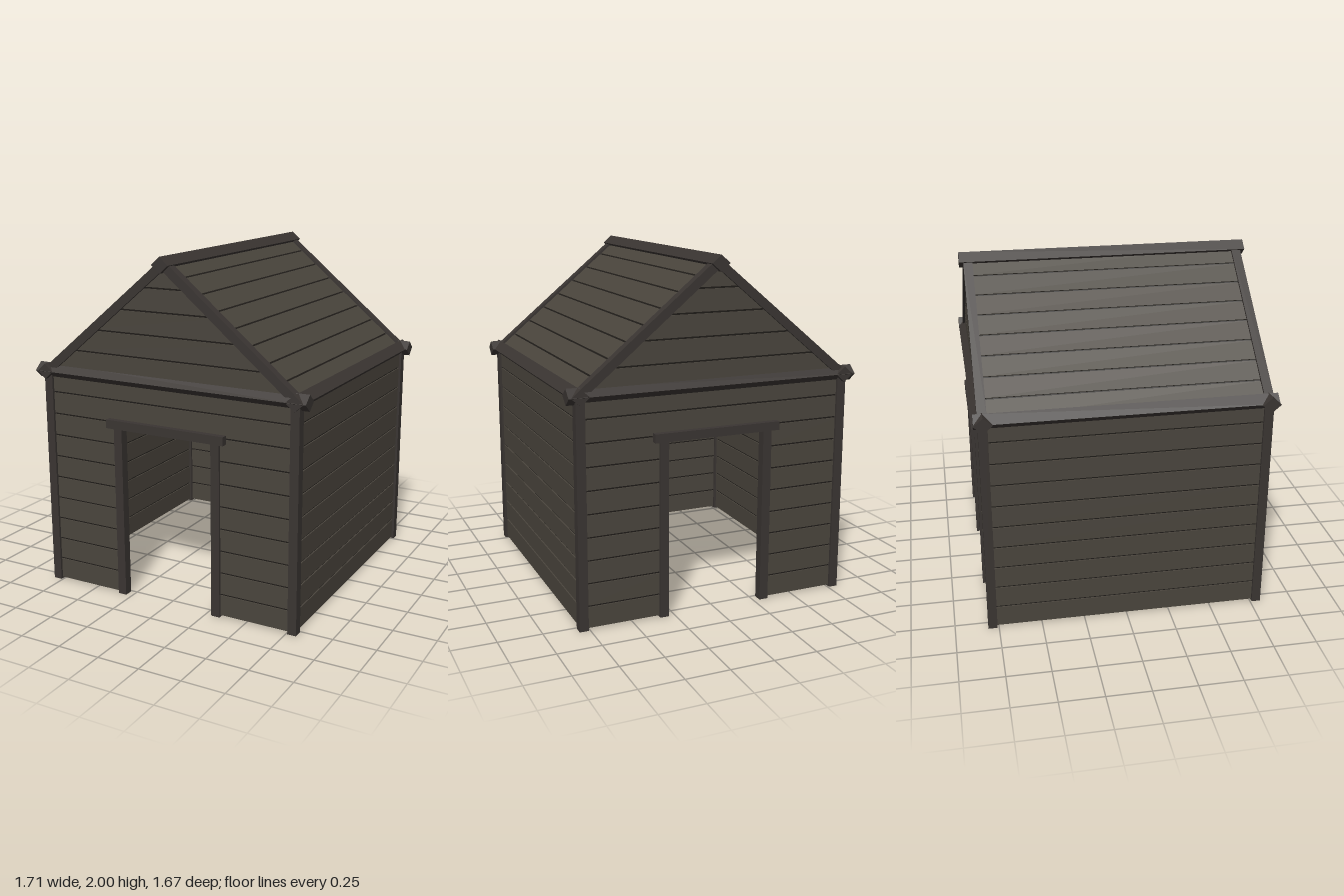
import * as THREE from 'three';

const wood = new THREE.MeshStandardMaterial({ color: 0x4a453d, flatShading: true });
const trim = new THREE.MeshStandardMaterial({ color: 0x3a3532, flatShading: true });
const dark = new THREE.MeshStandardMaterial({ color: 0x1e1b18, flatShading: true });

const HALF = 0.785;     // wall centre line
const EAVE = 1.3;       // eave beam height
const RIDGE = 1.955;    // ridge beam height
const PITCH = 0.13;     // plank spacing
const GAP = 0.01;
const THICK = 0.024;

function add(parent, name, geometry, material, x = 0, y = 0, z = 0) {
  const mesh = new THREE.Mesh(geometry, material);
  mesh.name = name;
  mesh.position.set(x, y, z);
  parent.add(mesh);
  return mesh;
}

function box(parent, name, w, h, d, material, x, y, z) {
  return add(parent, name, new THREE.BoxGeometry(w, h, d), material, x, y, z);
}

// Stack of planks in the XY plane over a thin dark core that shows in the grooves
function plankPanel(name, width, height) {
  const panel = new THREE.Group();
  panel.name = name;
  box(panel, 'grooveCore', width, height, THICK * 0.4, dark, 0, height / 2, 0);
  for (let y = 0; y < height - 0.02; y += PITCH) {
    const h = Math.min(PITCH - GAP, height - y);
    box(panel, 'plank', width, h, THICK, wood, 0, y + h / 2, 0);
  }
  return panel;
}

// Beam with a diamond section, lying along x
function diamondBeam(parent, name, length) {
  const geometry = new THREE.CylinderGeometry(1, 1, length, 4);
  geometry.scale(0.045, 1, 0.052);
  geometry.rotateZ(Math.PI / 2);
  return add(parent, name, geometry, trim);
}

// Slab between two heights of the gable triangle
function gableSlab(parent, name, y0, y1, depth, material) {
  const halfAt = y => Math.max(0.001, (RIDGE - y) * 0.79 / (RIDGE - EAVE));
  const a = halfAt(y0), b = halfAt(y1);
  const shape = new THREE.Shape([
    new THREE.Vector2(-a, y0), new THREE.Vector2(a, y0),
    new THREE.Vector2(b, y1), new THREE.Vector2(-b, y1),
  ]);
  const geometry = new THREE.ExtrudeGeometry(shape, { depth, bevelEnabled: false });
  geometry.translate(0, 0, -depth / 2);
  add(parent, name, geometry, material);
}

// End wall with doorway, gable and trim, facing +z
function endWall(name) {
  const wall = new THREE.Group();
  wall.name = name;

  for (const s of [-1, 1]) {
    const side = plankPanel('doorSideWall', 0.475, 1.04);
    side.position.set(s * 0.5475, 0.01, 0);
    wall.add(side);
    box(wall, 'doorPost', 0.052, 1.02, 0.052, trim, s * 0.313, 0.51, 0);
    box(wall, 'cornerPost', 0.052, EAVE, 0.052, trim, s * HALF, EAVE / 2, 0);
  }
  const upper = plankPanel('wallAboveDoor', 1.57, 0.25);
  upper.position.y = 1.05;
  wall.add(upper);
  box(wall, 'lintel', 0.75, 0.05, 0.055, trim, 0, 1.04, 0.02);

  // Gable planks
  gableSlab(wall, 'gableCore', EAVE, RIDGE, THICK * 0.4, dark);
  for (let y = 1.31; y < RIDGE - 0.02; y += PITCH) {
    gableSlab(wall, 'gablePlank', y, Math.min(y + PITCH - GAP, RIDGE), THICK, wood);
  }

  // Sloping rake beams
  const rise = RIDGE - EAVE, run = 0.79;
  for (const s of [-1, 1]) {
    const rake = box(wall, 'rakeBeam', Math.hypot(rise, run), 0.05, 0.052, trim,
      s * run / 2, (RIDGE + EAVE) / 2, 0);
    rake.rotation.z = -s * Math.atan2(rise, run);
  }
  diamondBeam(wall, 'endEaveBeam', 1.71).position.y = EAVE;
  return wall;
}

export function createModel() {
  const house = new THREE.Group();
  house.name = 'plankHouse';

  // Matching front and back
  const front = endWall('frontWall');
  front.position.z = HALF;
  const back = endWall('backWall');
  back.position.z = -HALF;
  back.rotation.y = Math.PI;
  house.add(front, back);

  // Side walls, roof slopes and side eave beams
  const rise = RIDGE - EAVE, run = 0.79;
  for (const s of [-1, 1]) {
    const label = s > 0 ? 'left' : 'right';
    const wall = plankPanel(label + 'Wall', 1.56, 1.28);
    wall.position.set(s * HALF, 0.01, 0);
    wall.rotation.y = s * Math.PI / 2;
    house.add(wall);

    const slope = new THREE.Group();
    slope.name = label + 'Roof';
    slope.position.set(s * run, EAVE, 0);
    slope.rotation.y = s * Math.PI / 2;
    const planks = plankPanel('roofPlanks', 1.56, Math.hypot(rise, run));
    planks.rotation.x = -Math.atan2(run, rise);
    slope.add(planks);
    house.add(slope);

    const eave = diamondBeam(house, label + 'EaveBeam', 1.67);
    eave.position.set(s * 0.79, EAVE, 0);
    eave.rotation.y = Math.PI / 2;
  }

  const ridge = diamondBeam(house, 'ridgeBeam', 1.67);
  ridge.position.y = RIDGE;
  ridge.rotation.y = Math.PI / 2;
  return house;
}
